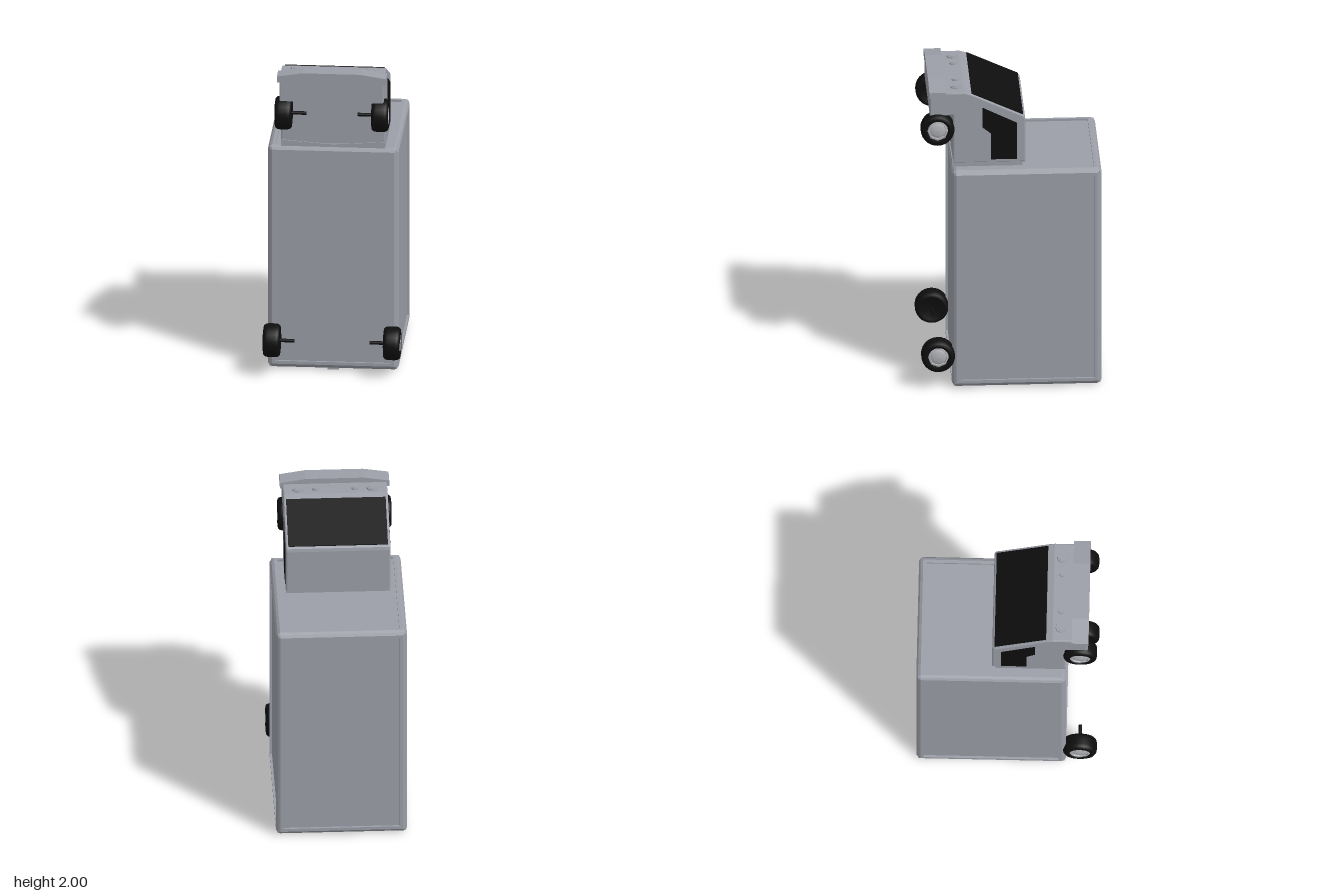
import * as THREE from 'three';

const mat = (name, color, side = THREE.FrontSide) => {
  const m = new THREE.MeshStandardMaterial({ color, side });
  m.name = name;
  return m;
};

export function createModel() {
  const root = new THREE.Group();
  root.name = 'upendedTruck';
  const grey = mat('body grey', 0x9b9ea7);
  const black = mat('black', 0x0e0e0e);
  const silver = mat('hub silver', 0xaeb0b4);

  const add = (name, geo, material, parent = root) => {
    const mesh = new THREE.Mesh(geo, material);
    mesh.name = name;
    parent.add(mesh);
    return mesh;
  };
  const flat = (geo) => {
    const g = geo.index ? geo.toNonIndexed() : geo;
    g.computeVertexNormals();
    return g;
  };
  const shape = (pts) => new THREE.Shape(pts.map(([a, b]) => new THREE.Vector2(a, b)));

  // Profile given as [z, y], extruded along x and centred at x = cx
  const extrudeX = (pts, width, cx = 0, bevel = 0) => {
    const g = new THREE.ExtrudeGeometry(shape(pts), {
      depth: width - 2 * bevel, bevelEnabled: bevel > 0, bevelSize: bevel,
      bevelOffset: -bevel, bevelThickness: bevel, bevelSegments: 2,
    });
    g.translate(0, 0, -(width - 2 * bevel) / 2);
    g.rotateY(-Math.PI / 2);
    g.translate(cx, 0, 0);
    return g;
  };
  // Profile given as [x, y], extruded along z from z0 to z1
  const extrudeZ = (pts, z0, z1) =>
    new THREE.ExtrudeGeometry(shape(pts), { depth: z1 - z0, bevelEnabled: false }).translate(0, 0, z0);

  // Box with chamfered edges, a raised rim and a recessed panel on each face
  const panelBox = (w, h, d, chamfer, rim, recess) => {
    const g = new THREE.BoxGeometry(2, 2, 2, 7, 7, 7);
    const half = [w / 2, h / 2, d / 2];
    const insets = [chamfer * 0.4, chamfer, rim, rim];
    const { position, normal } = g.attributes;
    for (let i = 0; i < position.count; i++) {
      const p = [position.getX(i), position.getY(i), position.getZ(i)];
      const n = [normal.getX(i), normal.getY(i), normal.getZ(i)];
      const axis = n.findIndex((v) => Math.abs(v) > 0.5);
      const rings = [];
      const out = [0, 0, 0];
      for (let a = 0; a < 3; a++) {
        if (a === axis) continue;
        const k = Math.round((p[a] + 1) * 3.5);
        const ring = Math.min(k, 7 - k);
        rings.push(ring);
        out[a] = Math.sign(p[a]) * (half[a] - insets[ring]);
      }
      const low = Math.min(...rings);
      const drop = low === 0 ? insets[0] : low === 3 ? recess : 0;
      out[axis] = Math.sign(n[axis]) * (half[axis] - drop);
      position.setXYZ(i, ...out);
    }
    return flat(g);
  };

  // Cargo box
  add('cargoBox', panelBox(0.81, 1.46, 0.925, 0.026, 0.046, 0.014), grey).position.set(0, 0.738, -0.093);
  add('doorLatch', new THREE.BoxGeometry(0.07, 0.012, 0.014), grey).position.set(0, 0.006, 0.345);

  // Cab with the bumper block in its profile
  add('cab', extrudeX([
    [0.36, 1.49], [0.36, 1.812], [0.503, 1.812], [0.503, 1.965], [0.285, 1.965], [0.25, 1.955],
    [-0.07, 1.806], [-0.083, 1.795], [-0.088, 1.775], [-0.088, 1.49],
  ], 0.646, 0, 0.008), grey);
  add('cabSkirt', extrudeZ([
    [-0.322, 1.468], [0.322, 1.468], [0.322, 1.508], [0, 1.486], [-0.322, 1.508],
  ], -0.07, 0.366), grey);
  add('bumper', extrudeZ([
    [-0.338, 1.935], [0.338, 1.935], [0.338, 1.975], [0.18, 2], [-0.18, 2], [-0.338, 1.975],
  ], 0.403, 0.507), grey);

  // Windows
  add('windshield', extrudeX([
    [-0.074, 1.811], [-0.07, 1.803], [0.246, 1.95], [0.242, 1.958],
  ], 0.616), black);
  for (const side of [1, -1]) {
    add(side > 0 ? 'leftWindow' : 'rightWindow', extrudeX([
      [0.178, 1.863], [0.178, 1.73], [0.125, 1.688], [0.125, 1.513], [-0.034, 1.513], [-0.034, 1.757],
    ], 0.006, side * 0.323), black);
  }

  // Octagonal headlights, each a ring with a raised lens
  for (const side of [1, -1]) {
    for (const [x, r] of [[0.229, 0.038], [0.122, 0.023]]) {
      const lamp = new THREE.Group();
      lamp.name = 'headlight';
      lamp.position.set(side * x, 1.966, 0.336);
      add('lampRing', flat(new THREE.CylinderGeometry(r * 0.9, r, 0.016, 8)), grey, lamp);
      add('lampLens', flat(new THREE.CylinderGeometry(r * 0.6, r * 0.7, 0.022, 8)), grey, lamp);
      root.add(lamp);
    }
  }

  // Wheels: lathe profiles as [radius, offset], outer side at +x
  const lathe = (pts, seg) =>
    new THREE.LatheGeometry(pts.map(([r, y]) => new THREE.Vector2(r, y)), seg).rotateZ(-Math.PI / 2);
  const tire = lathe([
    [0, -0.035], [0.06, -0.04], [0.075, -0.052], [0.092, -0.05], [0.102, -0.038], [0.105, -0.02],
    [0.105, 0.02], [0.102, 0.038], [0.092, 0.05], [0.075, 0.053], [0.064, 0.048], [0.062, 0.02],
  ], 28);
  const hub = flat(lathe([[0.066, 0.02], [0.064, 0.048], [0.053, 0.05], [0.05, 0.038]], 8));
  const cap = lathe([[0.052, 0.036], [0.046, 0.042], [0.03, 0.047], [0, 0.05]], 20);
  const axle = new THREE.CylinderGeometry(0.011, 0.011, 0.11, 10).rotateZ(Math.PI / 2).translate(-0.085, 0, 0);

  for (const side of [1, -1]) {
    for (const [name, x, y] of [['rearWheel', 0.372, 0.22], ['frontWheel', 0.299, 1.72]]) {
      const wheel = new THREE.Group();
      wheel.name = name;
      wheel.position.set(side * x, y, 0.455);
      if (side < 0) wheel.rotation.y = Math.PI;
      add('tire', tire, black, wheel);
      add('hubRim', hub, silver, wheel);
      add('hubCap', cap, silver, wheel);
      add('axleStub', axle, black, wheel);
      root.add(wheel);
    }
  }
  return root;
}
